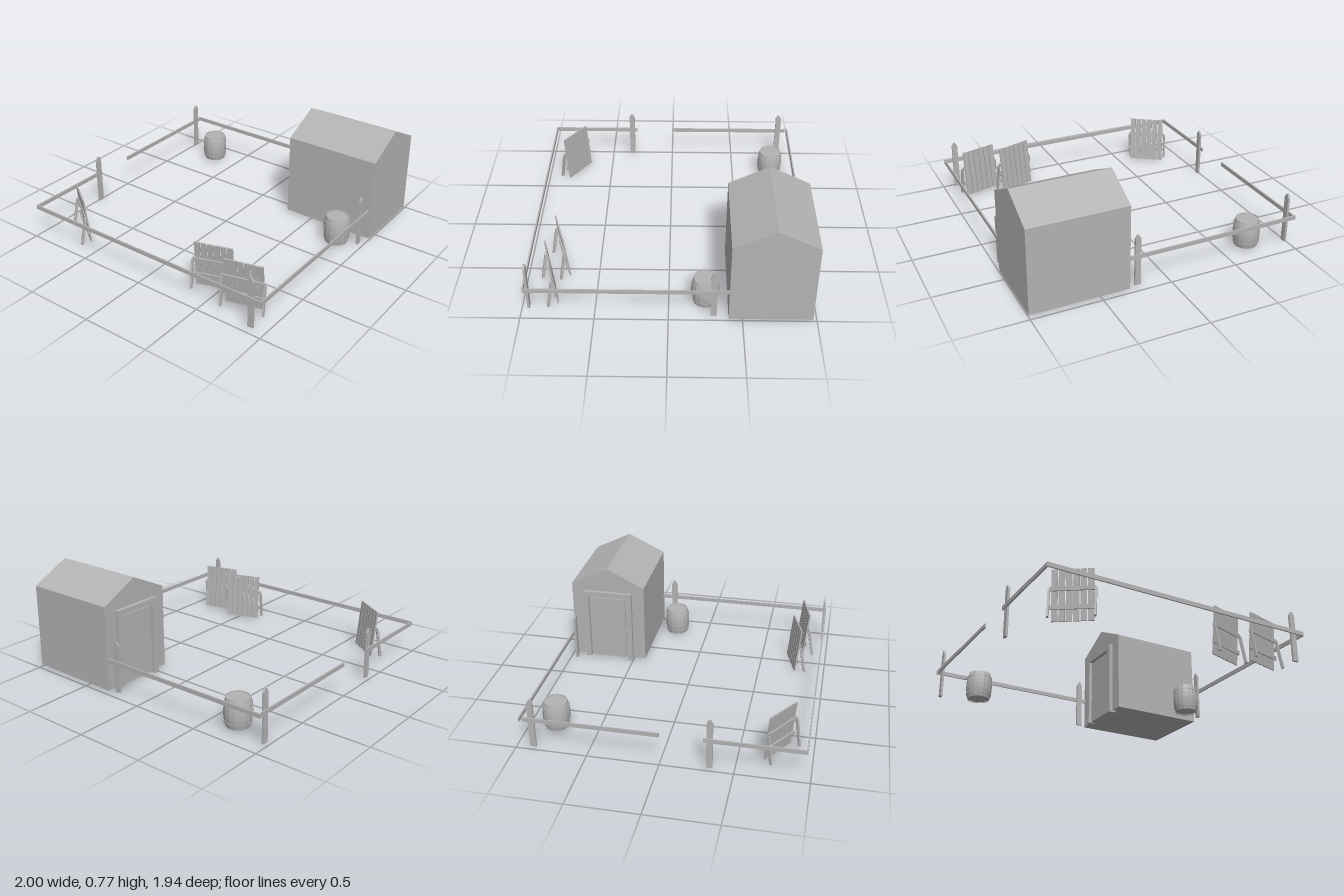
import * as THREE from 'three';

const weathered = new THREE.MeshStandardMaterial({ color: 0xb3b3b3 });
weathered.name = 'weathered grey';

const GROUND = 0.015;

function add(parent, name, geometry, x = 0, y = 0, z = 0) {
  const mesh = new THREE.Mesh(geometry, weathered);
  mesh.name = name;
  mesh.position.set(x, y, z);
  parent.add(mesh);
  return mesh;
}

// Box given by its lower and upper corners
function span(parent, name, [x0, y0, z0], [x1, y1, z1]) {
  return add(parent, name, new THREE.BoxGeometry(x1 - x0, y1 - y0, z1 - z0),
    (x0 + x1) / 2, (y0 + y1) / 2, (z0 + z1) / 2);
}

function polygon(points, depth) {
  const shape = new THREE.Shape(points.map(([x, y]) => new THREE.Vector2(x, y)));
  return new THREE.ExtrudeGeometry(shape, { depth, bevelEnabled: false });
}

function flat(geometry) {
  const g = geometry.toNonIndexed();
  g.computeVertexNormals();
  return g;
}

// Gabled shed with a framed door in its left-hand gable
function createShed() {
  const shed = new THREE.Group();
  shed.name = 'shed';
  const body = polygon([[0.405, GROUND], [0.973, GROUND], [0.973, 0.63], [0.69, 0.77], [0.405, 0.63]], 0.705);
  body.rotateY(Math.PI / 2);
  add(shed, 'shedBody', body, 0.295, 0, 0);
  span(shed, 'doorPostFront', [0.265, 0, -0.54], [0.32, 0.54, -0.5]);
  span(shed, 'doorPostBack', [0.265, 0.01, -0.88], [0.32, 0.54, -0.84]);
  span(shed, 'doorLintel', [0.265, 0.54, -0.88], [0.3, 0.58, -0.5]);
  span(shed, 'door', [0.283, GROUND, -0.825], [0.3, 0.525, -0.555]);
  return shed;
}

// Rails around the yard, open on the left side, with pointed posts
function createFence() {
  const fence = new THREE.Group();
  fence.name = 'fence';
  const lo = 0.22, hi = 0.25;
  span(fence, 'railFront', [-0.995, lo, 0.96], [0.975, hi, 0.97]);
  span(fence, 'railRight', [0.975, lo, -0.405], [0.985, hi, 0.965]);
  span(fence, 'railBack', [-1, lo, -0.963], [0.295, hi, -0.953]);
  span(fence, 'railLeftBack', [-0.995, lo, -0.94], [-0.985, hi, 0]);
  span(fence, 'railLeftFront', [-0.995, lo, 0.295], [-0.985, hi, 0.96]);

  const w = 0.021;
  const picket = polygon([[-w, GROUND], [w, GROUND], [w, 0.362], [0.004, 0.39], [-0.004, 0.39], [-w, 0.362]], 0.016);
  picket.translate(0, 0, -0.008);
  const posts = [
    [0.228, -0.945, 0], [0.897, 0.952, 0],
    [-0.977, -0.88, 1], [-0.977, 0.335, 1], [0.966, -0.305, 1],
  ];
  for (const [x, z, turned] of posts) {
    add(fence, 'fencePost', picket, x, 0, z).rotation.y = turned * Math.PI / 2;
  }
  return fence;
}

// Barrel of separate staves over a core, with two hoops and recessed lids
function createBarrel(x, z) {
  const barrel = new THREE.Group();
  barrel.name = 'barrel';
  barrel.position.set(x, GROUND, z);
  const H = 0.205, N = 16;
  const radius = (t) => 0.097 - 0.015 * (2 * t - 1) ** 2;
  const profile = [];
  for (let i = 0; i <= 6; i++) profile.push(new THREE.Vector2(radius(i / 6), H * i / 6));
  // Rim returns inwards at both ends
  const outline = [new THREE.Vector2(0.074, 0.008), new THREE.Vector2(0.074, 0),
    ...profile, new THREE.Vector2(0.074, H), new THREE.Vector2(0.074, H - 0.008)];
  const step = Math.PI * 2 / N;
  for (let i = 0; i < N; i++) {
    add(barrel, 'stave', flat(new THREE.LatheGeometry(outline, 1, i * step + 0.02, step - 0.04)));
  }
  const core = profile.map((p) => new THREE.Vector2(p.x - 0.004, THREE.MathUtils.clamp(p.y, 0.006, H - 0.006)));
  core.unshift(new THREE.Vector2(0, 0.006));
  core.push(new THREE.Vector2(0, H - 0.006));
  add(barrel, 'barrelCore', flat(new THREE.LatheGeometry(core, N)));
  for (const t of [0.17, 0.83]) {
    const r = radius(t), slope = t < 0.5 ? 0.0015 : -0.0015, h = 0.008;
    const hoop = [[r - 0.004, -h], [r + 0.003 - slope, -h], [r + 0.003 + slope, h], [r - 0.004, h]]
      .map(([a, b]) => new THREE.Vector2(a, t * H + b));
    add(barrel, 'hoop', flat(new THREE.LatheGeometry(hoop, N)));
  }
  return barrel;
}

// Leaning plank panel propped by two legs
function createPanel(x, z, angle) {
  const panel = new THREE.Group();
  panel.name = 'plankPanel';
  panel.position.set(x, GROUND, z);
  panel.rotation.y = angle;

  const boards = new THREE.Group();
  boards.name = 'boards';
  boards.position.z = -0.018;
  boards.rotation.x = 0.1;
  panel.add(boards);
  const N = 6, W = 0.275, L = 0.35, pitch = W / N;
  for (let i = 0; i < N; i++) {
    add(boards, 'plank', new THREE.BoxGeometry(pitch - 0.006, L, 0.011), (i + 0.5) * pitch - W / 2, L / 2, 0);
  }
  for (const y of [0.09, 0.215]) {
    add(boards, 'crossBoard', new THREE.BoxGeometry(W + 0.02, 0.028, 0.01), 0, y, 0.0105);
  }
  for (const side of [-1, 1]) {
    const leg = add(panel, 'propLeg', new THREE.BoxGeometry(0.014, 0.215, 0.02), side * 0.148, 0.105, 0.034);
    leg.rotation.x = -0.17;
  }
  return panel;
}

export function createModel() {
  const yard = new THREE.Group();
  yard.name = 'fencedYard';
  yard.add(createShed(), createFence());
  yard.add(createBarrel(-0.707, -0.8), createBarrel(0.815, -0.25));
  yard.add(createPanel(-0.72, 0.77, -0.6), createPanel(0.465, 0.757, 0.3), createPanel(0.742, 0.805, 0.25));
  return yard;
}
